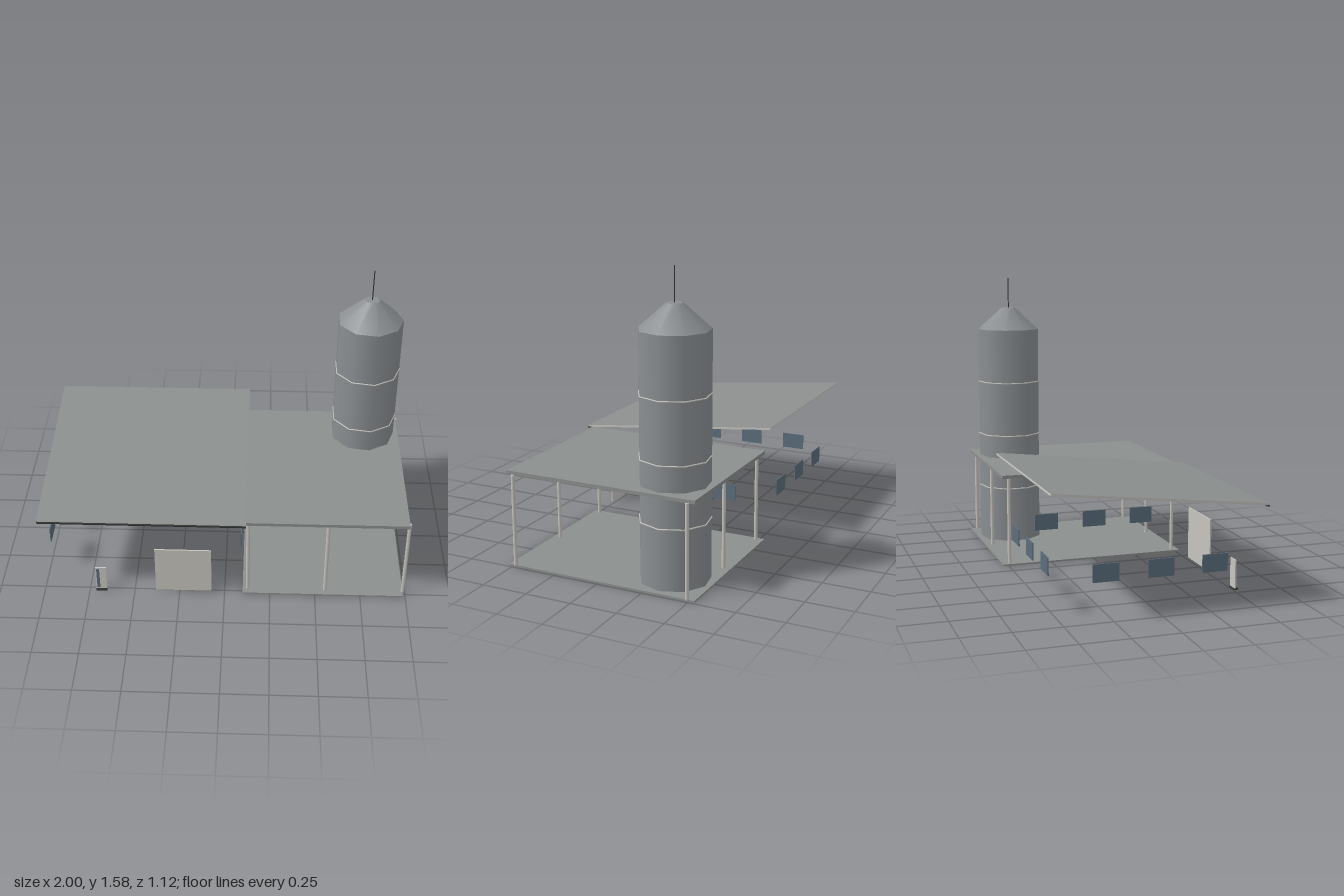
import * as THREE from 'three';

export function createModel() {
  const model = new THREE.Group();
  const mat = (name, color) => {
    const m = new THREE.MeshStandardMaterial({ color });
    m.name = name;
    return m;
  };
  const slate = mat('slateGrey', 0x8b8f8e);
  const steel = mat('siloSteel', 0x8b8f92);
  const trim = mat('paleTrim', 0xc6c4be);
  const glass = mat('blueGlass', 0x5b6d7b);
  const dark = mat('darkMetal', 0x2f3233);

  const add = (name, geo, material, x, y, z, parent = model) => {
    const mesh = new THREE.Mesh(geo, material);
    mesh.name = name;
    mesh.position.set(x, y, z);
    parent.add(mesh);
    return mesh;
  };
  // box given by its limits on each axis
  const box = (name, material, [x0, x1], [y0, y1], [z0, z1]) =>
    add(name, new THREE.BoxGeometry(x1 - x0, y1 - y0, z1 - z0), material,
      (x0 + x1) / 2, (y0 + y1) / 2, (z0 + z1) / 2);

  // sloping house roof: grey sheet on top, pale edges and underside
  const rise = 0.12, run = 1.108;
  const roof = add('houseRoof', new THREE.BoxGeometry(1.115, 0.011, Math.hypot(rise, run)),
    [trim, trim, slate, trim, trim, trim], -0.4425, 0.578, -0.006);
  roof.rotation.x = Math.atan2(rise, run);
  box('gutter', dark, [-1, 0.115], [0.506, 0.512], [0.545, 0.556]);

  // windows: three on the back wall and three on each side wall
  const w = 0.133, t = 0.006;
  for (const i of [-1, 0, 1]) {
    const x = -0.445 + i * 0.288, z = -0.005 + i * 0.281;
    add('backWindow', new THREE.BoxGeometry(w, 0.09, t), glass, x, 0.24, -0.52);
    for (const [name, wx] of [['rightWindow', -0.98], ['leftWindow', 0.087]])
      add(name, new THREE.BoxGeometry(t, 0.09, w), glass, wx, 0.24, z);
  }

  // front openings
  box('garageDoor', trim, [-0.382, -0.073], [0.01, 0.302], [0.507, 0.515]);
  box('frontDoor', trim, [-0.715, -0.653], [0.01, 0.162], [0.507, 0.515]);
  box('doorGlazing', glass, [-0.708, -0.692], [0.02, 0.152], [0.515, 0.518]);
  box('doorStep', dark, [-0.715, -0.653], [0.003, 0.01], [0.503, 0.527]);

  // open shelter: floor, flat roof and six posts
  box('shelterFloor', slate, [0.1, 0.988], [0, 0.009], [-0.53, 0.522]);
  box('shelterRoof', slate, [0.108, 0.986], [0.495, 0.513], [-0.53, 0.522]);
  for (const x of [0.127, 0.557, 0.988])
    for (const z of [0.482, -0.49])
      add('post', new THREE.CylinderGeometry(0.01, 0.01, 0.486, 8), trim, x, 0.252, z);

  // nine-sided silo with a truncated cone, bands and a mast
  const silo = new THREE.Group();
  silo.name = 'silo';
  silo.position.set(0.777, 0, -0.324);
  model.add(silo);
  const R = 0.182, N = 9;
  const drum = (r0, r1, h) => new THREE.CylinderGeometry(r1, r0, h, N, 1, false, Math.PI / 2);
  add('siloBody', drum(R, R, 1.273), steel, 0, 0.6385, 0, silo);
  add('siloCap', drum(R, 0.041, 0.126), steel, 0, 1.338, 0, silo);
  for (const y of [0.327, 0.645, 0.961])
    add('siloBand', new THREE.TorusGeometry(R + 0.001, 0.004, 6, N).rotateX(Math.PI / 2), trim, 0, y, 0, silo);
  add('mast', new THREE.CylinderGeometry(0.003, 0.003, 0.177, 6), dark, 0, 1.4885, 0, silo);

  return model;
}
